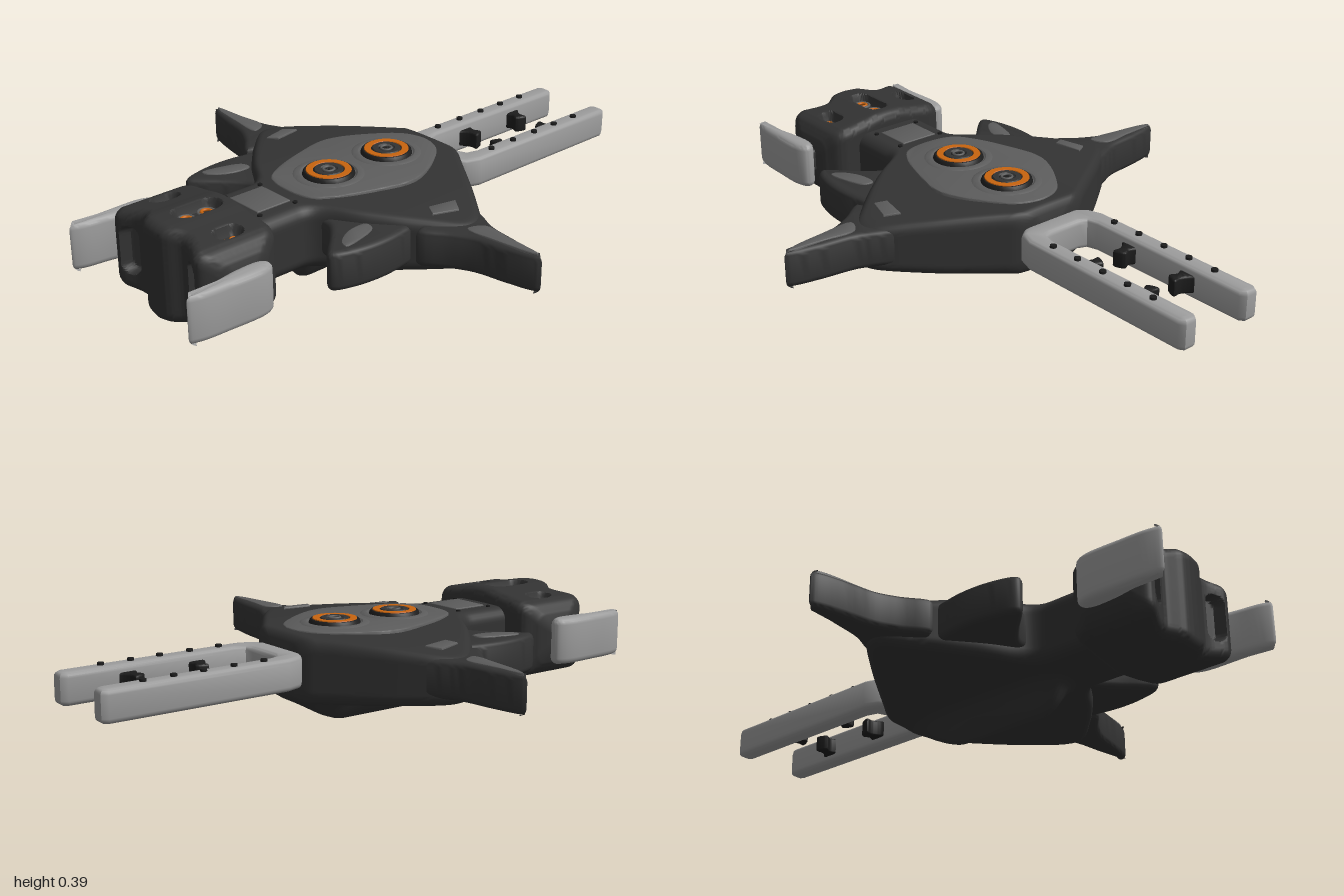
import * as THREE from 'three';
import { toCreasedNormals } from 'three/addons/utils/BufferGeometryUtils.js';

const mat = (color) => new THREE.MeshStandardMaterial({ color });
const DARK = mat(0x333333), PANEL = mat(0x5c5c5c), LIGHT = mat(0x9c9c9c), ORANGE = mat(0xc8640f), BLACK = mat(0x1c1c1c);

const mesh = (name, geo, material) => {
  const m = new THREE.Mesh(geo, material);
  m.name = name;
  return m;
};

// Piecewise-linear table, softened by averaging over a small window
function table(rows, soft) {
  const at = (t) => {
    if (t <= rows[0][0]) return rows[0][1];
    for (let i = 1; i < rows.length; i++) {
      const [a, b] = [rows[i - 1], rows[i]];
      if (t <= b[0]) return a[1] + (b[1] - a[1]) * (t - a[0]) / (b[0] - a[0]);
    }
    return rows[rows.length - 1][1];
  };
  return (t) => [-1, -0.5, 0, 0.5, 1].reduce((s, k) => s + at(t + k * soft) / 5, 0);
}

// Counter-clockwise rounded rectangle with fixed counts per corner and side
function roundRect(u0, u1, v0, v1, r, side = 40) {
  const pts = [];
  const corners = [[u1 - r, v1 - r], [u0 + r, v1 - r], [u0 + r, v0 + r], [u1 - r, v0 + r]];
  corners.forEach(([cu, cv], q) => {
    for (let i = 0; i <= 6; i++) {
      const a = (q + i / 6) * Math.PI / 2;
      pts.push([cu + r * Math.cos(a), cv + r * Math.sin(a)]);
    }
    const [su, sv] = pts[pts.length - 1], a = (q + 1) * Math.PI / 2;
    const [nu, nv] = corners[(q + 1) % 4];
    const eu = nu + r * Math.cos(a), ev = nv + r * Math.sin(a);
    for (let i = 1; i < side; i++) pts.push([su + (eu - su) * i / side, sv + (ev - sv) * i / side]);
  });
  return pts;
}

// Skin closed rings and cap both ends
function loft(rings) {
  const n = rings[0].length, pos = [], idx = [];
  rings.forEach((r) => r.forEach((p) => pos.push(...p)));
  rings.slice(1).forEach((_, i) => {
    for (let j = 0; j < n; j++) {
      const a = i * n + j, b = i * n + (j + 1) % n;
      idx.push(a, b, a + n, b, b + n, a + n);
    }
  });
  [0, rings.length - 1].forEach((ri) => {
    const c = pos.length / 3;
    pos.push(...[0, 1, 2].map((k) => rings[ri].reduce((s, p) => s + p[k] / n, 0)));
    for (let j = 0; j < n; j++) {
      const a = ri * n + j, b = ri * n + (j + 1) % n;
      if (ri) idx.push(c, a, b); else idx.push(c, b, a);
    }
  });
  const g = new THREE.BufferGeometry();
  g.setAttribute('position', new THREE.Float32BufferAttribute(pos, 3));
  g.setIndex(idx);
  return toCreasedNormals(g, 0.7);
}

// Plan outline [x, z] thickened from y0 to y1 with rounded edges
function slab(pts, y0, y1, bevel, smooth = true) {
  const v = pts.map(([x, z]) => new THREE.Vector2(x, z));
  const outline = smooth ? new THREE.CatmullRomCurve3(v.map((p) => new THREE.Vector3(p.x, p.y, 0)), true, 'centripetal')
    .getPoints(pts.length * 5).slice(0, -1).map((p) => new THREE.Vector2(p.x, p.y)) : v;
  const g = new THREE.ExtrudeGeometry(new THREE.Shape(outline), {
    depth: y1 - y0 - 2 * bevel, bevelEnabled: true, bevelThickness: bevel, bevelSize: bevel, bevelOffset: -bevel, bevelSegments: 4,
  });
  g.rotateX(Math.PI / 2).translate(0, y1 - bevel, 0);
  return toCreasedNormals(g, 0.7);
}

// Hull with swept shoulders, tapering neck and a narrow keel
const topY = (x) => 0.343 - 0.04 * (x / 0.53) ** 2;
function hull() {
  const width = table([[-0.27, 0.125], [-0.24, 0.16], [-0.1, 0.36], [0, 0.49], [0.04, 0.53], [0.09, 0.53], [0.13, 0.49],
    [0.24, 0.37], [0.32, 0.27], [0.38, 0.17], [0.42, 0.14], [0.7, 0.14]], 0.02);
  const keel = table([[-0.27, 0.125], [-0.2, 0.09], [-0.1, 0.035], [-0.03, 0.01], [0.33, 0.01], [0.37, 0.035], [0.41, 0.12], [0.7, 0.12]], 0.02);
  const rings = [];
  for (let i = 0; i <= 75; i++) {
    const z = -0.27 + 0.92 * i / 75;
    const inset = 0.025 * Math.max(0, 1 - i / 2) ** 2, w = width(z) - inset;
    rings.push(roundRect(-w, w, 0.12 + inset, 0.343 - inset, 0.045).map(([x, y]) => {
      const t = (y - 0.12) / 0.223, e = (x / 0.53) ** 2;
      const dip = (0.12 - keel(z)) * Math.exp(-((x / 0.055) ** 2)) * Math.max(0, 1 - 3 * t);
      return [x, y - 0.04 * e * t + 0.035 * e * (1 - t) - dip, z];
    }));
  }
  return loft(rings);
}

// Head with two vertical front slots and three pockets on top
function head() {
  const front = table([[0, 0.905], [0.05, 0.9], [0.1, 0.862], [0.14, 0.87], [0.2, 0.898], [0.23, 0.885], [0.25, 0.83]], 0.012);
  const back = table([[0, 0.6], [0.19, 0.6], [0.225, 0.615], [0.25, 0.67]], 0.012);
  const top = table([[0, 0.397], [0.05, 0.395], [0.1, 0.385], [0.2, 0.37], [0.235, 0.35], [0.25, 0.31]], 0.012);
  const base = table([[0, 0.065], [0.1, 0.08], [0.2, 0.1], [0.235, 0.12], [0.25, 0.16]], 0.012);
  const pocket = (du, dv, half, r) => 1 - THREE.MathUtils.smoothstep(Math.hypot(du, Math.max(0, Math.abs(dv) - half)), r - 0.012, r);
  const rings = [];
  for (let i = 0; i <= 100; i++) {
    const x = -0.25 + i * 0.005, a = Math.abs(x), y1 = top(a), z1 = front(a);
    rings.push(roundRect(base(a), y1, back(a), z1, 0.035).map(([y, z]) => {
      if (y > y1 - 0.002) y -= 0.035 * Math.max(pocket(x, z - 0.735, 0.045, 0.042), pocket(a - 0.16, z - 0.74, 0.02, 0.032));
      else if (z > z1 - 0.002) z -= 0.035 * pocket(a - 0.16, y - 0.238, 0.047, 0.036);
      return [x, y, z];
    }));
  }
  return loft(rings);
}

const ring = (name, x, y, z, r, tube, material) => {
  const m = mesh(name, new THREE.TorusGeometry(r, tube, 10, 36), material);
  m.rotation.x = Math.PI / 2;
  m.position.set(x, y, z);
  return m;
};
const lathe = (pts) => toCreasedNormals(new THREE.LatheGeometry(pts.map(([r, y]) => new THREE.Vector2(r, y)), 48), 0.6);

export function createModel() {
  const g = new THREE.Group();
  g.add(mesh('hull', hull(), DARK), mesh('head', head(), DARK));

  // Egg-shaped deck and its two round emitters
  const egg = [[0, -0.225], [0.08, -0.2], [0.15, -0.12], [0.21, -0.01], [0.222, 0.06], [0.2, 0.16], [0.15, 0.3], [0.1, 0.37], [0, 0.39]];
  const eggRing = [...egg, ...egg.slice(1, -1).reverse().map(([x, z]) => [-x, z])];
  g.add(mesh('deckPanel', slab(eggRing, 0.31, 0.348, 0.006), PANEL));
  for (const z of [-0.045, 0.21]) {
    const e = new THREE.Group();
    e.name = 'emitter';
    e.position.set(0, 0.345, z);
    e.add(
      mesh('emitterRim', lathe([[0.117, -0.01], [0.117, 0.003], [0.11, 0.007], [0.095, 0.007], [0.088, 0.002], [0, 0.002]]), PANEL),
      mesh('emitterDrum', lathe([[0.088, 0], [0.084, 0.012], [0.08, 0.016], [0, 0.016]]), BLACK),
      mesh('glowBand', lathe([[0.076, 0.014], [0.074, 0.019], [0.053, 0.019], [0.05, 0.014]]), ORANGE),
      mesh('emitterHub', lathe([[0.05, 0.014], [0.046, 0.02], [0.03, 0.02], [0.026, 0.016], [0, 0.016]]), DARK),
      ring('hubRing', 0, 0.018, 0, 0.018, 0.004, PANEL),
    );
    g.add(e);
  }

  // Neck plate with corner screws
  g.add(mesh('neckPlate', slab([[-0.07, 0.43], [0.07, 0.43], [0.07, 0.56], [-0.07, 0.56]], 0.33, 0.348, 0.004, false), PANEL));
  const screw = new THREE.CylinderGeometry(0.008, 0.008, 0.012, 12);
  for (const x of [-0.088, 0.088]) for (const z of [0.425, 0.565]) {
    const s = mesh('neckScrew', screw, BLACK);
    s.position.set(x, 0.341, z);
    g.add(s);
  }

  // Central head emitters
  for (const z of [0.7, 0.775]) {
    g.add(ring('headRing', 0, 0.368, z, 0.026, 0.005, PANEL), ring('headGlowRing', 0, 0.369, z, 0.016, 0.005, ORANGE));
  }

  for (const s of [1, -1]) {
    const flip = (pts) => pts.map(([x, z]) => [s * x, z]);
    const add = (name, pts, y0, y1, b, material, smooth) => g.add(mesh(name, slab(flip(pts), y0, y1, b, smooth), material));
    // Side wing and rearward-curving fin, each with an inlaid pad
    add('wing', [[0.4, -0.04], [0.49, -0.01], [0.56, 0.02], [0.68, 0.037], [0.78, 0.058], [0.8, 0.07], [0.77, 0.088],
      [0.68, 0.11], [0.58, 0.13], [0.51, 0.165], [0.42, 0.22]], 0.175, 0.302, 0.022, DARK);
    add('wingPad', [[0.525, 0.105], [0.55, 0.05], [0.66, 0.056], [0.785, 0.068], [0.765, 0.08], [0.65, 0.098]], 0.28, 0.307, 0.004, PANEL);
    add('fin', [[0.3, 0.22], [0.385, 0.205], [0.402, 0.26], [0.41, 0.35], [0.4, 0.44], [0.375, 0.51], [0.355, 0.522],
      [0.32, 0.495], [0.26, 0.435], [0.2, 0.39], [0.14, 0.38]], 0.17, 0.302, 0.022, DARK);
    add('finPad', [[0.29, 0.31], [0.325, 0.315], [0.355, 0.39], [0.362, 0.455], [0.335, 0.45], [0.29, 0.38]], 0.28, 0.307, 0.004, PANEL);

    // Shoulder inlay follows the sloped hull top
    const inlay = slab(flip([[0.37, 0.12], [0.41, 0.14], [0.437, 0.05], [0.39, 0.02]]), -0.02, 0.007, 0.004, false);
    const p = inlay.attributes.position;
    for (let i = 0; i < p.count; i++) p.setY(i, p.getY(i) + topY(p.getX(i)));
    g.add(mesh('shoulderInlay', inlay, PANEL));

    // Cheek guard and the link to the head
    add('cheekGuard', [[0.262, 0.72], [0.28, 0.692], [0.305, 0.692], [0.325, 0.73], [0.326, 0.86], [0.32, 0.96], [0.305, 1],
      [0.288, 0.97], [0.275, 0.88], [0.262, 0.8]], 0.152, 0.316, 0.022, LIGHT);
    add('cheekLink', [[0.22, 0.72], [0.29, 0.72], [0.29, 0.81], [0.22, 0.81]], 0.19, 0.28, 0.015, DARK, false);
    for (const z of [0.722, 0.756]) g.add(ring('cheekGlowRing', s * 0.16, 0.345, z, 0.009, 0.004, ORANGE));

    // Inner tail hooks
    const hook = [[0.11, -0.82], [0.085, -0.795], [0.06, -0.782], [0.033, -0.782], [0.037, -0.76], [0.05, -0.742], [0.075, -0.752], [0.11, -0.74]];
    add('tailHook', hook, 0.205, 0.265, 0.008, BLACK);
    add('tailHook', hook.map(([x, z]) => [x, -1.3 - z]), 0.205, 0.265, 0.008, BLACK);

    // Studs through the tail prongs
    for (const z of [-0.85, -0.745, -0.64, -0.53, -0.42]) {
      const stud = mesh('tailStud', new THREE.CylinderGeometry(0.011, 0.013, 0.11, 14), BLACK);
      stud.position.set(s * 0.132, 0.243, z);
      g.add(stud);
    }
  }

  // Two-pronged tail
  const half = [[0.1, -0.25], [0.145, -0.285], [0.163, -0.34], [0.163, -0.98], [0.15, -1], [0.11, -1], [0.095, -0.98],
    [0.095, -0.38], [0.085, -0.345], [0.06, -0.335]];
  const prongs = [...half, ...half.map(([x, z]) => [-x, z]).reverse()];
  g.add(mesh('tailFork', slab(prongs, 0.183, 0.29, 0.018, false), LIGHT));
  return g;
}
